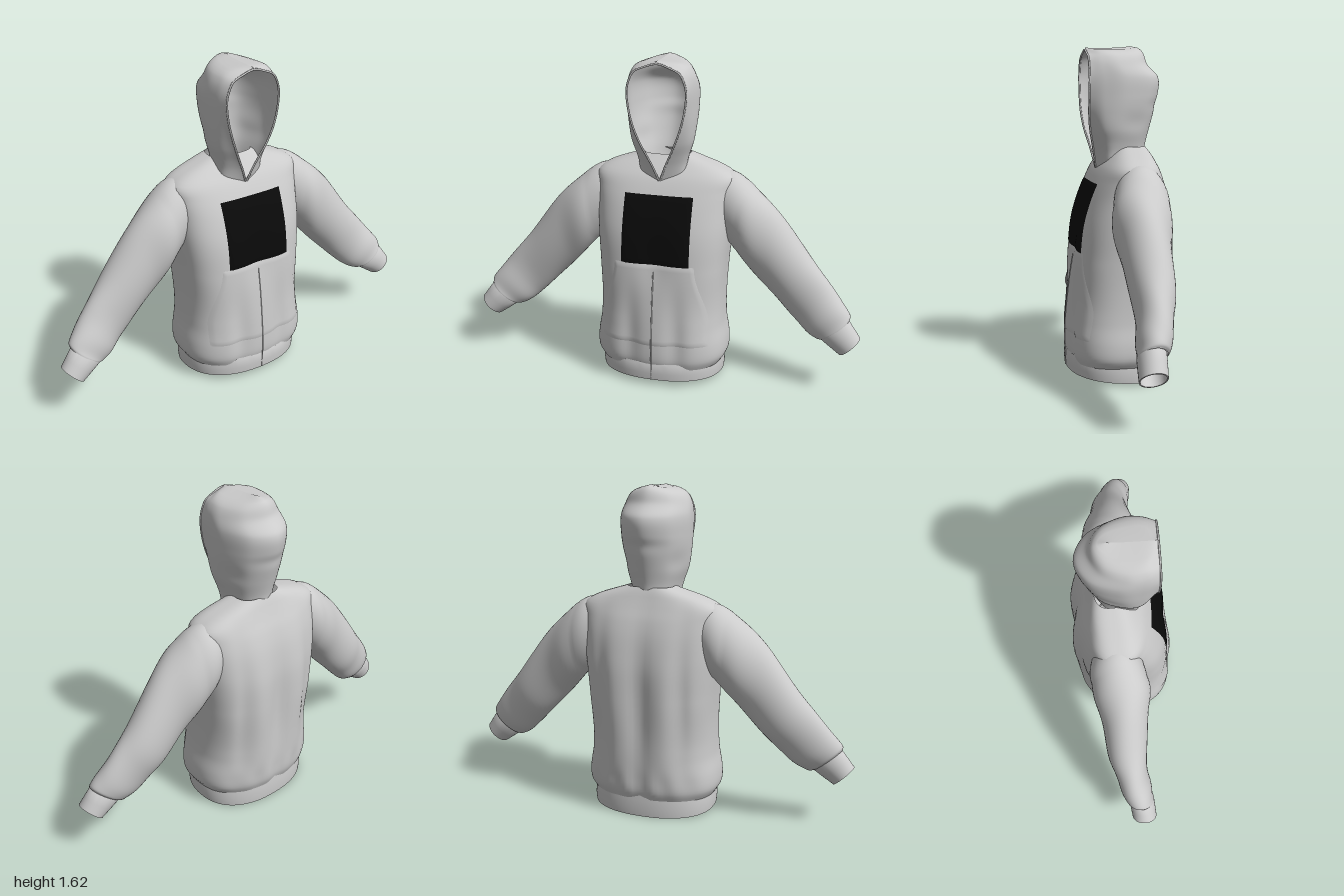
import * as THREE from 'three';
import { toCreasedNormals } from 'three/addons/utils/BufferGeometryUtils.js';

const cloth = new THREE.MeshStandardMaterial({ color: 0xcccccc, side: THREE.DoubleSide });
const black = new THREE.MeshStandardMaterial({ color: 0x0a0a0a, side: THREE.DoubleSide });
const bell = (x, c, r) => Math.exp(-(((x - c) / r) ** 2));

// Smooth interpolation of rows [key, values...]
function track(rows) {
  const slope = (i, k) => {
    const a = rows[Math.max(i - 1, 0)], b = rows[Math.min(i + 1, rows.length - 1)];
    return (b[k] - a[k]) / (b[0] - a[0]);
  };
  return (t) => {
    let i = 0;
    while (i < rows.length - 2 && t > rows[i + 1][0]) i++;
    const a = rows[i], b = rows[i + 1], h = b[0] - a[0];
    const s = Math.min(Math.max((t - a[0]) / h, 0), 1), s2 = s * s, s3 = s2 * s;
    return a.slice(1).map((v, j) => (2 * s3 - 3 * s2 + 1) * v + (s3 - 2 * s2 + s) * h * slope(i, j + 1)
      + (3 * s2 - 2 * s3) * b[j + 1] + (s3 - s2) * h * slope(i + 1, j + 1));
  };
}

// Surface grid from fn(u, v), u and v in 0..1, optionally closed around v
function loft(nu, nv, closed, fn) {
  const pos = [], index = [], cols = closed ? nv : nv + 1;
  for (let i = 0; i <= nu; i++) for (let j = 0; j < cols; j++) pos.push(...fn(i / nu, j / nv));
  for (let i = 0; i < nu; i++) for (let j = 0; j < nv; j++) {
    const a = i * cols + j, b = i * cols + ((j + 1) % cols), c = a + cols, d = b + cols;
    index.push(a, c, b, b, c, d);
  }
  const g = new THREE.BufferGeometry();
  g.setAttribute('position', new THREE.Float32BufferAttribute(pos, 3));
  g.setIndex(index);
  g.computeVertexNormals();
  return g;
}

// Torso: y, half width, front z, back z, side-line z
const torso = track([
  [0.09, 0.312, 0.245, -0.228, 0], [0.13, 0.334, 0.256, -0.243, 0], [0.2, 0.335, 0.257, -0.25, 0],
  [0.3, 0.319, 0.25, -0.255, 0], [0.45, 0.314, 0.235, -0.258, -0.01], [0.6, 0.32, 0.222, -0.26, -0.02],
  [0.72, 0.33, 0.21, -0.258, -0.03], [0.8, 0.336, 0.194, -0.25, -0.04], [0.9, 0.34, 0.161, -0.232, -0.05],
  [0.98, 0.345, 0.125, -0.208, -0.05], [1.04, 0.345, 0.09, -0.182, -0.05], [1.08, 0.283, 0.055, -0.165, -0.05],
  [1.11, 0.195, 0.025, -0.153, -0.055], [1.135, 0.115, 0, -0.14, -0.06]]);

// Torso depth at x, y with the draped folds
function torsoZ(x, y, front) {
  const [w, zf, zb, z0] = torso(y), ax = Math.abs(x);
  const n = (front ? 2.65 : 2.4) + 0.4 * THREE.MathUtils.smoothstep(y, 0.35, 0.6);
  const k = Math.pow(Math.max(1 - Math.pow(ax / w, n), 0), 1 / n);
  if (front) return z0 + (zf - z0) * k - k * (0.018 * bell(ax, 0.115, 0.05) * bell(y, 0.25, 0.22)
    + 0.014 * bell(x, 0, 0.08) * bell(y, 0.66, 0.14));
  const fade = bell(y, 0.55, 0.35);
  return z0 + (zb - z0) * k + k * (0.026 * bell(x, 0, 0.05) - 0.008 * bell(ax, 0.13, 0.05)
    + 0.016 * bell(ax, 0.21, 0.04)) * fade + k * 0.005 * Math.cos(x * 50) * bell(y, 0.16, 0.07);
}

// Patch of cloth lying on the torso front, its border tucked in
function frontPanel(nu, nv, y0, y1, edges, lift) {
  return loft(nu, nv, false, (u, v) => {
    const y = y0 + (y1 - y0) * u, [l, r] = edges(y), x = l + (r - l) * v;
    const rim = u === 0 || u === 1 || v === 0 || v === 1;
    return [x, y, torsoZ(x, y, true) + (rim ? 0.001 : lift)];
  });
}

// Sleeve: station, upper edge x y, lower edge x y, centre z, half depth
const sleeve = track([
  [0, 0.24, 1.07, 0.25, 0.78, -0.05, 0.1], [1, 0.35, 1.054, 0.325, 0.7, -0.05, 0.133],
  [2, 0.455, 0.978, 0.40, 0.62, -0.035, 0.136], [3, 0.58, 0.86, 0.49, 0.52, -0.028, 0.119],
  [4, 0.735, 0.655, 0.59, 0.42, -0.026, 0.097], [5, 0.828, 0.545, 0.665, 0.345, -0.011, 0.086],
  [6, 0.9, 0.455, 0.725, 0.293, 0.008, 0.078], [7, 0.94, 0.403, 0.778, 0.264, 0.022, 0.073],
  [8, 0.942, 0.38, 0.802, 0.264, 0.032, 0.065]]);
const oval = (s, [ux, uy, lx, ly, zc, dz], a, k = 1) => {
  const c = 0.5 * k * Math.cos(a);
  return [s * ((ux + lx) / 2 + c * (ux - lx)), (uy + ly) / 2 + c * (uy - ly), zc + dz * k * Math.sin(a)];
};

// Hood: y, half width, opening half width, front z, back z
const hood = track([
  [1.02, 0.108, 0, 0.098, -0.12], [1.1, 0.113, 0.03, 0.114, -0.142], [1.15, 0.125, 0.053, 0.125, -0.15],
  [1.22, 0.148, 0.085, 0.142, -0.168], [1.3, 0.16, 0.115, 0.152, -0.19], [1.38, 0.166, 0.135, 0.154, -0.21],
  [1.47, 0.167, 0.143, 0.154, -0.212], [1.53, 0.155, 0.128, 0.154, -0.158], [1.57, 0.134, 0.098, 0.153, -0.142],
  [1.588, 0.11, 0.045, 0.153, -0.13], [1.602, 0.07, 0, 0.152, -0.108], [1.61, 0, 0, 0.15, -0.07]]);
function hoodPoint(y, v) {
  const [w, o, zf, zb] = hood(y), d = zf - zb;
  const half = [[o, zf], [w * 0.97, zf - 0.2 * d], [w, zf - 0.48 * d], [w * 0.68, zf - 0.84 * d]];
  const pts = [...half, [0, zb], ...half.slice().reverse().map(([x, z]) => [-x, z])];
  const p = new THREE.CatmullRomCurve3(pts.map(([x, z]) => new THREE.Vector3(x, y, z)), false, 'catmullrom', 0.5).getPoint(v);
  // Soft dents at the back and sides
  const back = bell(v, 0.5, 0.13);
  const side = 1 - 0.05 * bell(y, 1.25, 0.05) * (bell(v, 0.33, 0.08) + bell(v, 0.67, 0.08));
  return [p.x * side, y + 0.01 * back * bell(y, 1.6, 0.03), p.z + 0.006 * back * bell(y, 1.34, 0.03)];
}

export function createModel() {
  const group = new THREE.Group();
  const add = (name, geometry, material = cloth) => {
    const m = new THREE.Mesh(geometry, material);
    m.name = name;
    group.add(m);
  };
  const tube = (pts, r) => new THREE.TubeGeometry(
    new THREE.CatmullRomCurve3(pts.map((p) => new THREE.Vector3(...p))), pts.length * 2, r, 6);

  add('torso', loft(72, 112, true, (u, v) => {
    const y = 0.09 + 1.045 * u, a = v * Math.PI * 2, c = Math.cos(a);
    const x = torso(y)[0] * Math.sign(c) * Math.pow(Math.abs(c), 0.8);
    return [x, y, torsoZ(x, y, Math.sin(a) >= 0)];
  }));

  // Ribbed hem band, folded inward for thickness and tilted up at the front
  const hem = [[0.12, 0.985], [0.095, 1], [0.05, 1.01], [0.015, 1], [0.015, 0.965], [0.05, 0.97], [0.12, 0.965]];
  add('hemBand', toCreasedNormals(loft(6, 80, true, (u, v) => {
    const [y, k] = hem[Math.round(u * 6)], a = v * Math.PI * 2, c = Math.cos(a), s = Math.sin(a);
    const x = 0.312 * k * Math.sign(c) * Math.pow(Math.abs(c), 0.87);
    const z = (s > 0 ? 0.255 : 0.23) * k * Math.sign(s) * Math.pow(Math.abs(s), 0.87);
    return [x, y + (y < 0.1 ? 0.065 * z : 0), z];
  }), 0.7));

  // Front pocket, centre seam and chest patch
  add('frontPocket', frontPanel(30, 40, 0.22, 0.635, (y) => {
    const w = 0.27 - 0.07 * THREE.MathUtils.smoothstep(y, 0.33, 0.635);
    return [-w, w];
  }, 0.005));
  const seam = [];
  for (let y = 0.12; y < 0.64; y += 0.04) seam.push([0, y, torsoZ(0, y, true) + 0.005]);
  add('centreSeam', tube([[0, 0.033, 0.257], [0, 0.08, 0.257], ...seam], 0.003));
  add('chestPatch', frontPanel(24, 24, 0.632, 0.965, () => [-0.165, 0.175], 0.006), black);

  // Sleeves and cuffs, mirrored
  for (const [side, s] of [['left', 1], ['right', -1]]) {
    add(side + 'Sleeve', loft(56, 40, true, (u, v) => {
      const a = v * Math.PI * 2, t = u * 8;
      const fold = t > 1.5 ? 0.035 * Math.sin(t * 3.1 + 2 * Math.sin(a)) * Math.sin(a) * (1 - bell(t, 8, 1)) : 0;
      return oval(s, sleeve(t), a, 1 + fold);
    }));
    const start = [0.938, 0.376, 0.806, 0.264, 0.034, 0.065], end = [0.998, 0.292, 0.902, 0.2, 0.045, 0.062];
    const cuff = [[-0.05, 0.96], [0, 0.99], [0.5, 1], [1, 1], [1, 0.9], [0.5, 0.9], [-0.05, 0.9]];
    add(side + 'Cuff', toCreasedNormals(loft(6, 32, true, (u, v) => {
      const [t, k] = cuff[Math.round(u * 6)];
      return oval(s, start.map((p, i) => p + (end[i] - p) * t), v * Math.PI * 2, k);
    }), 0.7));
  }

  // Hood with a rolled edge around the face opening
  add('hood', loft(70, 64, false, (u, v) => hoodPoint(1.02 + 0.59 * u, v)));
  const edge = [];
  for (let i = 0; i <= 30; i++) edge.push(hoodPoint(1.03 + (0.57 * i) / 30, 0));
  const other = edge.slice(0, -1).reverse().map(([x, y, z]) => [-x, y, z]);
  add('hoodEdge', tube([...edge, ...other], 0.005));
  return group;
}
